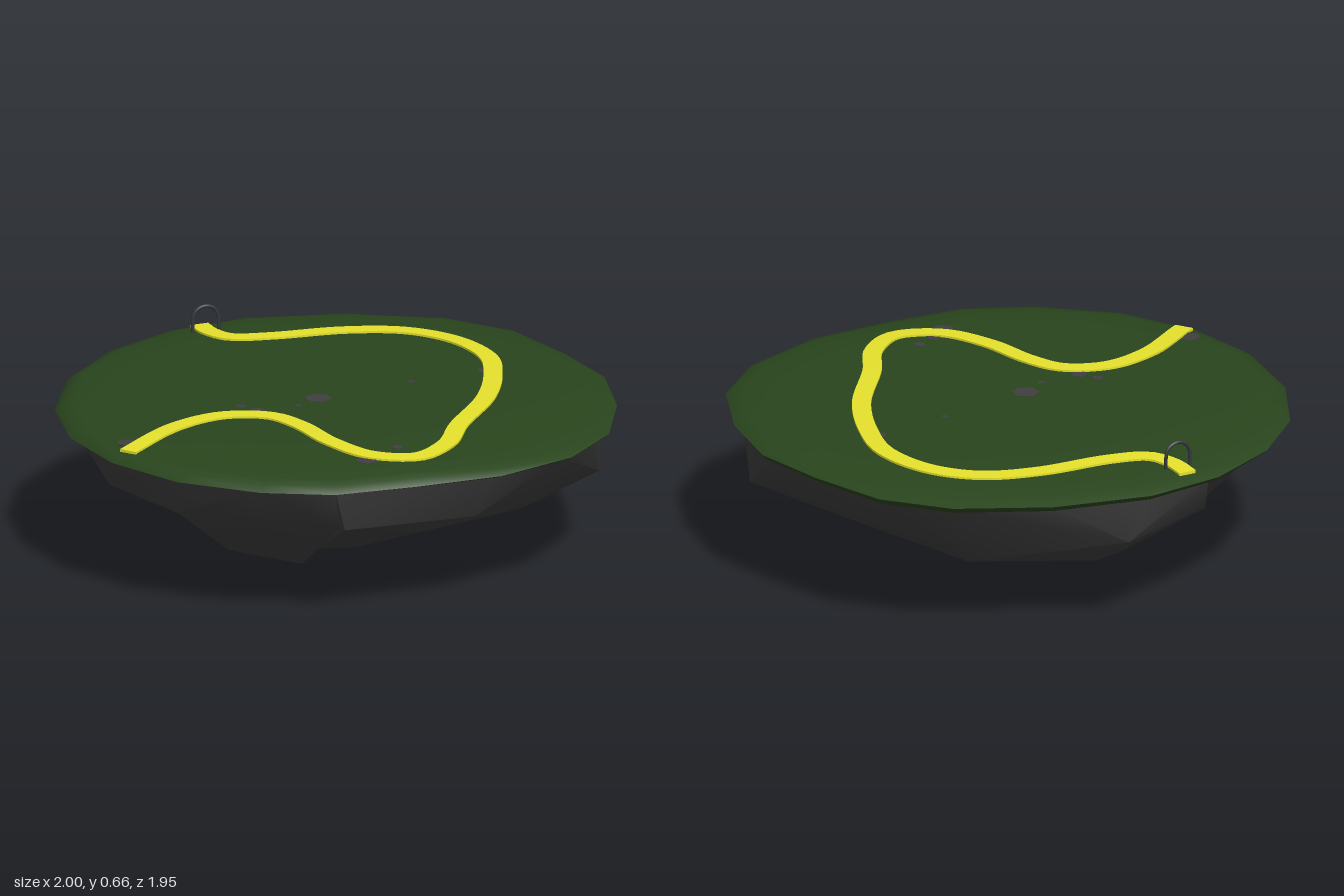
import * as THREE from 'three';
import { toCreasedNormals } from 'three/addons/utils/BufferGeometryUtils.js';
import { ConvexGeometry } from 'three/addons/geometries/ConvexGeometry.js';

const material = (name, color) => {
  const m = new THREE.MeshStandardMaterial({ color });
  m.name = name;
  return m;
};

// Irregular twenty-sided rim of the island, as x, z pairs
const OUTLINE = [
  [0, -0.98], [0.36, -0.91], [0.68, -0.75], [0.86, -0.54], [0.95, -0.24],
  [1, 0.05], [0.94, 0.36], [0.81, 0.65], [0.6, 0.85], [0.3, 0.96],
  [-0.02, 0.97], [-0.32, 0.96], [-0.56, 0.85], [-0.8, 0.64], [-0.95, 0.36],
  [-1, 0.05], [-0.95, -0.26], [-0.8, -0.56], [-0.58, -0.78], [-0.3, -0.93],
];

// Centre line of the path, as x, z pairs
const PATH = [
  [-0.19, -0.9], [-0.185, -0.8], [-0.14, -0.71], [0, -0.67], [0.27, -0.65],
  [0.47, -0.58], [0.6, -0.43], [0.65, -0.21], [0.6, 0], [0.49, 0.24],
  [0.3, 0.5], [0.19, 0.68], [0.05, 0.775], [-0.1, 0.71], [-0.19, 0.53],
  [-0.235, 0.32], [-0.3, 0.19], [-0.45, 0.13], [-0.64, 0.18], [-0.89, 0.36],
];

// Height of the gently domed lawn
const lawnHeight = (x, z) => 0.57 - 0.02 * (x * x + z * z) ** 2;

// Skin closed rings of equal point count
function loft(rings) {
  const n = rings[0].length;
  const index = [];
  for (let i = 0; i < rings.length - 1; i++) {
    for (let k = 0; k < n; k++) {
      const a = i * n + k, b = i * n + (k + 1) % n;
      index.push(a, a + n, b + n, a, b + n, b);
    }
  }
  const g = new THREE.BufferGeometry();
  g.setAttribute('position', new THREE.Float32BufferAttribute(rings.flat(2), 3));
  g.setIndex(index);
  return toCreasedNormals(g, 0.8);
}

function lawnGeometry() {
  const ring = (s, height) => OUTLINE.map(([x, z]) => [x * s, height(x * s, z * s), z * s]);
  return loft([
    ring(0, () => 0.505),
    ring(0.94, () => 0.505),
    ring(0.985, () => 0.516),
    ring(1, (x, z) => 0.528 + 0.006 * x - 0.006 * z),
    ring(0.975, (x, z) => lawnHeight(x, z) - 0.007),
    ...[0.93, 0.8, 0.6, 0.4, 0].map((s) => ring(s, lawnHeight)),
  ]);
}

// Raised ribbon that follows the lawn
function pathGeometry() {
  const curve = new THREE.CatmullRomCurve3(PATH.map(([x, z]) => new THREE.Vector3(x, 0, z)));
  const steps = 120, half = 0.034;
  const rings = [];
  for (let i = 0; i <= steps; i++) {
    const p = curve.getPointAt(i / steps);
    const t = curve.getTangentAt(i / steps);
    const corner = (side, lift) => {
      const x = p.x - t.z * half * side, z = p.z + t.x * half * side;
      return [x, lawnHeight(x, z) + lift, z];
    };
    rings.push([corner(1, 0.007), corner(-1, 0.007), corner(-1, -0.012), corner(1, -0.012)]);
  }
  const cap = (r) => r.map(() => [0, 1, 2].map((c) => (r[0][c] + r[2][c]) / 2));
  return loft([cap(rings[0]), ...rings, cap(rings[steps])]);
}

// Rock chunk: part of the rim plus a few low corners
function chunkGeometry(minX, maxX, corners) {
  const rim = OUTLINE.filter(([x]) => x >= minX && x <= maxX)
    .map(([x, z]) => new THREE.Vector3(x * 0.95, 0.515, z * 0.95));
  const low = corners.map((c) => new THREE.Vector3(...c));
  return toCreasedNormals(new ConvexGeometry([...rim, ...low]), 0.6);
}

const CHUNKS = {
  mainRock: [-0.35, 1, [
    [0.87, 0.3, 0.37], [0.79, 0.42, -0.4], [0.52, 0.25, -0.58], [0.05, 0.34, -0.9],
    [0, 0.25, -0.76], [-0.05, 0.12, -0.5], [-0.08, 0, 0.02], [-0.09, 0.01, -0.1],
    [0.31, 0.09, 0.03], [0.6, 0.2, 0.05], [0, 0.07, 0.25], [0.1, 0.2, 0.55],
    [0.25, 0.34, 0.83], [0.5, 0.27, 0.6], [-0.33, 0.36, -0.78],
    [-0.25, 0.35, 0.86], [-0.18, 0.17, 0.45],
  ]],
  frontRock: [-0.81, -0.2, [
    [-0.63, 0.23, 0.1], [-0.43, 0.065, 0.12], [-0.2, 0.01, 0.16], [-0.22, 0.05, 0.31],
    [-0.3, 0.2, 0.57], [-0.27, 0.36, 0.86], [-0.06, 0.13, 0.2], [-0.6, 0.34, 0.6],
    [-0.45, 0.25, -0.5],
  ]],
  leftRock: [-1, -0.45, [
    [-0.87, 0.35, 0.1], [-0.62, 0.23, 0.05], [-0.82, 0.37, -0.35],
    [-0.76, 0.36, 0.5], [-0.5, 0.25, -0.45],
  ]],
};

// Stone spots showing through the grass: x, z, radius
const SPOTS = [
  [-0.07, 0.05, 0.05], [-0.36, 0.045, 0.022], [-0.32, 0.11, 0.03], [-0.165, 0.105, 0.015],
  [0.3, -0.02, 0.015], [0.02, 0.65, 0.022], [-0.13, 0.75, 0.04], [-0.06, 0.69, 0.03],
  [-0.86, 0.27, 0.04], [0.59, -0.06, 0.03],
];

export function createModel() {
  const model = new THREE.Group();
  model.name = 'floatingIsland';
  const grass = material('dark green grass', 0x29451d);
  const rock = material('dark grey rock', 0x403f40);
  const sand = material('yellow path', 0xe6e22c);
  const iron = material('dark iron', 0x34383c);

  const add = (name, geometry, mat) => {
    const mesh = new THREE.Mesh(geometry, mat);
    mesh.name = name;
    model.add(mesh);
    return mesh;
  };

  // Ground, path and rocky underside
  add('lawn', lawnGeometry(), grass);
  add('path', pathGeometry(), sand);
  for (const [name, args] of Object.entries(CHUNKS)) add(name, chunkGeometry(...args), rock);

  // Thin stone spots, almost flush with the grass
  SPOTS.forEach(([x, z, r], i) => {
    const spot = add('stoneSpot', new THREE.CylinderGeometry(r, r, 0.004, 6), rock);
    spot.position.set(x, lawnHeight(x, z) - 0.001, z);
    spot.rotation.y = i;
  });

  // Arched gate at the back end of the path
  const points = [new THREE.Vector3(-0.048, 0.54, 0)];
  for (let i = 0; i <= 12; i++) {
    const a = Math.PI * (1 - i / 12);
    points.push(new THREE.Vector3(0.048 * Math.cos(a), 0.603 + 0.048 * Math.sin(a), 0));
  }
  points.push(new THREE.Vector3(0.048, 0.54, 0));
  const arch = add('archGate',
    new THREE.TubeGeometry(new THREE.CatmullRomCurve3(points), 40, 0.0065, 8), iron);
  arch.position.set(-0.19, 0, -0.83);

  return model;
}
